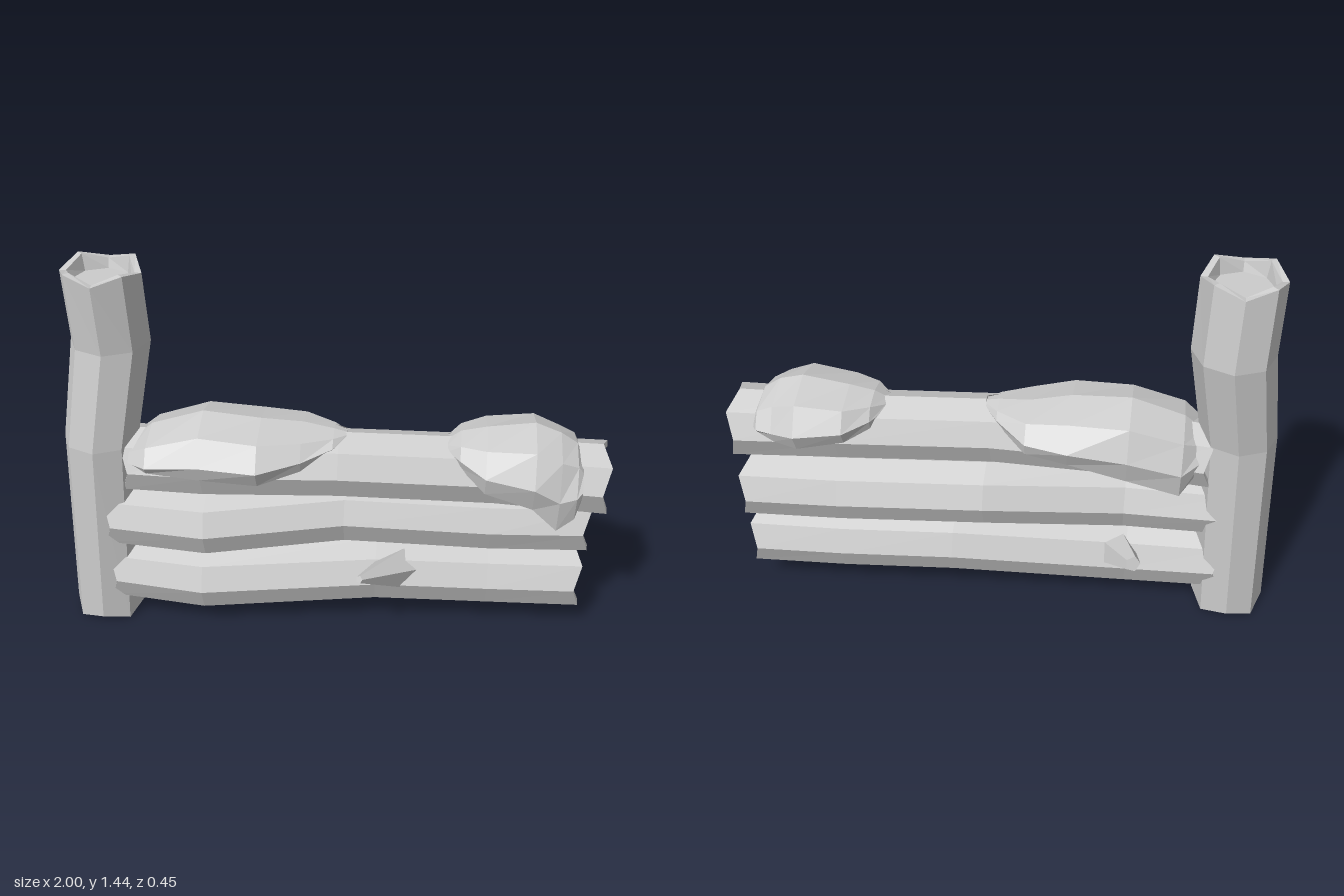
import * as THREE from 'three';

const SIDES = 8;

// Joins equal-length rings of points into a faceted skin.
function loft(name, rings, material) {
  const pos = [];
  const tri = (a, b, c) => pos.push(...a, ...b, ...c);
  for (let i = 0; i < rings.length - 1; i++) {
    const p = rings[i], q = rings[i + 1], n = p.length;
    for (let j = 0; j < n; j++) {
      const k = (j + 1) % n;
      tri(p[j], p[k], q[j]);
      tri(p[k], q[k], q[j]);
    }
  }
  const geo = new THREE.BufferGeometry();
  geo.setAttribute('position', new THREE.Float32BufferAttribute(pos, 3));
  geo.computeVertexNormals();
  const mesh = new THREE.Mesh(geo, material);
  mesh.name = name;
  return mesh;
}

// Octagonal ring of radius r square to the x or y axis, shifted along it by shift(j).
function ring([x, y, z], r, axis, shift = () => 0) {
  return Array.from({ length: SIDES }, (_, j) => {
    const a = (j / SIDES) * Math.PI * 2;
    const u = r * Math.cos(a), v = r * Math.sin(a), s = shift(j);
    return axis === 'x' ? [x + s, y + u, z + v] : [x + v, y + s, z + u];
  });
}

// Bent log with zigzag rims and shallow recessed ends; stations are [x, y, z, radius].
function log(name, stations, axis, material) {
  const depth = 0.045;
  const end = (s, dir) => {
    const jag = (j) => dir * (j % 2 ? 0.015 : -0.012);
    return [
      ring(s, 0, axis, () => -dir * depth),
      ring(s, s[3] * 0.75, axis, () => -dir * depth),
      ring(s, s[3] * 0.83, axis, jag),
      ring(s, s[3], axis, jag),
    ];
  };
  const first = stations[0], last = stations[stations.length - 1];
  const middle = stations.slice(1, -1).map((s) => ring(s, s[3], axis));
  return loft(name, [...end(first, -1), ...middle, ...end(last, 1).reverse()], material);
}

// Snow draped over a log with lips curling in; sections are [x, frontZ, frontY, topY, backZ, backY].
function snow(name, sections, material) {
  const across = [-0.86, -1, -0.72, 0, 0.72, 1, 0.86];
  const height = [0, 0.36, 0.82, 1, 0.82, 0.36, 0];
  const rings = sections.map(([x, zf, yf, yt, zb, yb], i) => {
    const zc = (zf + zb) / 2, half = (zf - zb) / 2;
    const arc = (k) => across.map((u, j) => {
      const lip = yb + ((yf - yb) * j) / 6;
      const wobble = 1 + 0.03 * Math.sin(i * 2.1 + j * 1.7);
      return [x, lip + (yt - lip) * height[j] * k + (1 - k) * 0.06, zc + half * k * u * wobble];
    });
    return [...arc(1), ...arc(0.72).reverse()];
  });
  // Close both tips on their middle points.
  const tip = (r) => {
    const c = [0, 1, 2].map((d) => r.reduce((s, p) => s + p[d], 0) / r.length);
    return r.map(() => c);
  };
  return loft(name, [tip(rings[0]), ...rings, tip(rings[rings.length - 1])], material);
}

// Tapered broken branch from a base point to a tip.
function stub(name, from, to, r0, r1, material) {
  const a = new THREE.Vector3(...from), b = new THREE.Vector3(...to);
  const dir = b.clone().sub(a);
  const geo = new THREE.CylinderGeometry(r1, r0, dir.length(), 5);
  const mesh = new THREE.Mesh(geo, material);
  mesh.name = name;
  mesh.position.copy(a).add(b).multiplyScalar(0.5);
  mesh.quaternion.setFromUnitVectors(new THREE.Vector3(0, 1, 0), dir.normalize());
  return mesh;
}

export function createModel() {
  const group = new THREE.Group();
  group.name = 'snowyLogFence';
  const grey = new THREE.MeshStandardMaterial({ color: 0xcccccc });
  grey.name = 'paleGrey';
  grey.flatShading = true;

  // Upright post
  group.add(log('post', [
    [-0.868, 0.015, 0, 0.134],
    [-0.83, 0.78, 0.01, 0.136],
    [-0.773, 1.15, -0.04, 0.143],
    [-0.778, 1.425, -0.015, 0.142],
  ], 'y', grey));

  // Three stacked rails
  group.add(log('topRail', [
    [-0.73, 0.69, 0, 0.125],
    [-0.45, 0.7, 0.02, 0.127],
    [0.04, 0.715, 0.01, 0.126],
    [0.6, 0.7, -0.02, 0.128],
    [0.985, 0.685, -0.025, 0.136],
  ], 'x', grey));
  group.add(log('middleRail', [
    [-0.81, 0.46, 0.02, 0.125],
    [-0.45, 0.448, 0.035, 0.13],
    [0.06, 0.475, -0.055, 0.127],
    [0.6, 0.455, -0.08, 0.128],
    [0.948, 0.455, -0.1, 0.127],
  ], 'x', grey));
  group.add(log('bottomRail', [
    [-0.81, 0.208, 0.01, 0.127],
    [-0.47, 0.188, 0.022, 0.132],
    [0.18, 0.22, -0.045, 0.128],
    [0.6, 0.21, -0.07, 0.128],
    [0.938, 0.21, -0.085, 0.13],
  ], 'x', grey));

  // Broken branches
  group.add(stub('frontBranch', [0.29, 0.24, -0.02], [0.13, 0.343, 0.215], 0.09, 0.014, grey));
  group.add(stub('backBranch', [-0.43, 0.23, -0.05], [-0.5, 0.3, -0.2], 0.075, 0.03, grey));

  // Snow caps
  group.add(snow('leftSnow', [
    [-0.71, 0.13, 0.73, 0.78, -0.1, 0.68],
    [-0.64, 0.185, 0.72, 0.84, -0.17, 0.6],
    [-0.45, 0.195, 0.71, 0.9, -0.185, 0.65],
    [-0.24, 0.205, 0.7, 0.885, -0.18, 0.7],
    [-0.09, 0.15, 0.74, 0.865, -0.17, 0.73],
    [0.02, 0.085, 0.79, 0.85, -0.08, 0.79],
    [0.065, 0.03, 0.82, 0.84, -0.02, 0.82],
  ], grey));
  group.add(snow('rightSnow', [
    [0.425, 0.045, 0.79, 0.825, -0.06, 0.79],
    [0.47, 0.1, 0.76, 0.855, -0.13, 0.76],
    [0.56, 0.155, 0.69, 0.875, -0.19, 0.72],
    [0.73, 0.175, 0.64, 0.9, -0.21, 0.69],
    [0.82, 0.17, 0.555, 0.87, -0.185, 0.7],
    [0.88, 0.15, 0.6, 0.83, -0.17, 0.72],
    [0.9, 0.13, 0.66, 0.79, -0.13, 0.72],
  ], grey));

  return group;
}
